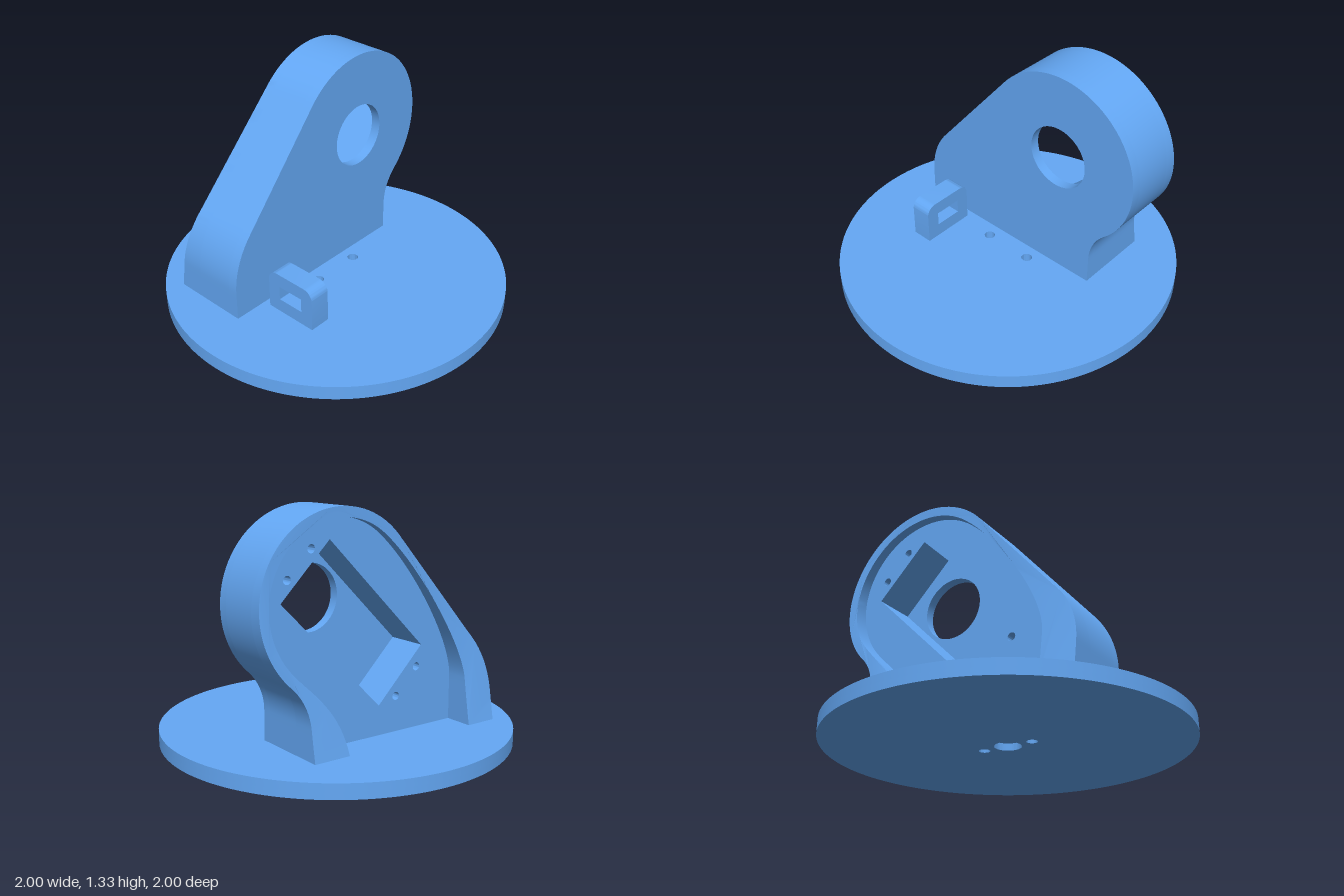
import * as THREE from 'three';
import { toCreasedNormals } from 'three/addons/utils/BufferGeometryUtils.js';

const BASE_H = 0.083;           // thickness of the round base
const FACE_X = -0.083;          // flat outer face of the bracket
const FLOOR_X = -0.14;          // bottom of the motor pocket
const SEAT_X = -0.38;           // recessed seat inside the rim
const HUB = { u: 0.285, y: 0.835, r: 0.5 }; // u = -z, the bracket's sketch axis

const material = new THREE.MeshStandardMaterial({ color: 0x64a8f5 });

function part(name, geometry) {
  const mesh = new THREE.Mesh(toCreasedNormals(geometry, 0.5), material);
  mesh.name = name;
  return mesh;
}

function circle(cx, cy, r, Type = THREE.Path) {
  return new Type().absarc(cx, cy, r, 0, Math.PI * 2, false);
}

function extrude(shape, depth, curveSegments = 32) {
  return new THREE.ExtrudeGeometry(shape, { depth, bevelEnabled: false, curveSegments });
}

// Extrudes a (-z, y) sketch sideways from x0 to x1
function extrudeX(shape, x0, x1) {
  return extrude(shape, x1 - x0).rotateY(Math.PI / 2).translate(x0, 0, 0);
}

// Layer of the round base, with its holes
function baseLayer(y0, y1, holes) {
  const shape = circle(0, 0, 1, THREE.Shape);
  for (const [z, r] of holes) shape.holes.push(circle(0, -z, r));
  return extrude(shape, y1 - y0, 96).rotateX(-Math.PI / 2).translate(0, y0, 0);
}

function arcPoints(cx, cy, r, a0, a1, n) {
  return Array.from({ length: n + 1 }, (_, i) => {
    const a = a0 + (a1 - a0) * i / n;
    return new THREE.Vector2(cx + r * Math.cos(a), cy + r * Math.sin(a));
  });
}

function bezierPoints(p, n) {
  const v = p.map(([u, y]) => new THREE.Vector2(u, y));
  return new THREE.CubicBezierCurve(...v).getPoints(n);
}

function linePoints(a, b, n) {
  return Array.from({ length: n - 1 }, (_, i) => a.clone().lerp(b, (i + 1) / n));
}

// Side outline, from the back foot over the hub to the front foot
function outerOutline() {
  const filletR = 0.3, backU = 0.535, frontU = -0.71, shoulderR = 0.5;
  const cu = backU + filletR;
  const reach = HUB.r + filletR;
  const cy = HUB.y - Math.sqrt(reach ** 2 - (cu - HUB.u) ** 2);
  const join = Math.atan2(cy - HUB.y, cu - HUB.u);
  const slope = Math.PI - Math.atan2(0.644, 0.765);
  const foot = arcPoints(cu, cy, filletR, Math.PI, join + Math.PI, 14);
  const hub = arcPoints(HUB.u, HUB.y, HUB.r, join, slope, 56);
  const shoulder = arcPoints(frontU + shoulderR, 0.25, shoulderR, slope, Math.PI, 16);
  const back0 = new THREE.Vector2(backU, BASE_H);
  const front0 = new THREE.Vector2(frontU, BASE_H);
  return [
    back0, ...linePoints(back0, foot[0], 5), ...foot,
    ...hub.slice(1), ...linePoints(hub[56], shoulder[0], 20), ...shoulder,
    ...linePoints(shoulder[16], front0, 5), front0,
  ];
}

// Edge of the recess, from the front foot back over the hub to the back foot
function recessOutline() {
  const r = 0.445;
  const a0 = THREE.MathUtils.degToRad(128), a1 = THREE.MathUtils.degToRad(-35);
  const hub = arcPoints(HUB.u, HUB.y, r, a0, a1, 50);
  const s = hub[0], e = hub[50];
  const start = new THREE.Vector2(-0.52, BASE_H), knee = new THREE.Vector2(-0.52, 0.35);
  return [
    start, ...linePoints(start, knee, 6),
    ...bezierPoints([[-0.52, 0.35], [-0.515, 0.55], [s.x - 0.24, s.y - 0.19], [s.x, s.y]], 26),
    ...hub.slice(1),
    ...bezierPoints([[e.x, e.y], [e.x - 0.1, e.y - 0.14], [0.36, 0.36], [0.32, BASE_H]], 20).slice(1),
  ];
}

// Point in the motor's 45 degree frame: a runs down and forward from the hub
function motorPoint(a, b) {
  const k = Math.SQRT1_2;
  return new THREE.Vector2(HUB.u + (-a + b) * k, HUB.y + (-a - b) * k);
}

function createBracket() {
  const bracket = new THREE.Group();
  bracket.name = 'bracket';
  const outline = outerOutline();

  // Thin outer face with the round shaft opening
  const face = new THREE.Shape(outline);
  face.holes.push(circle(HUB.u, HUB.y, 0.187));
  bracket.add(part('shaftPlate', extrudeX(face, FLOOR_X, FACE_X)));

  // Thick seat with the tilted motor pocket and four screw holes
  const seat = new THREE.Shape(outline);
  seat.holes.push(new THREE.Path([
    motorPoint(-0.262, -0.21), motorPoint(0.618, -0.21),
    motorPoint(0.618, 0.21), motorPoint(-0.262, 0.21),
  ]));
  for (const a of [-0.314, 0.678]) {
    for (const b of [-0.102, 0.102]) {
      const p = motorPoint(a, b);
      seat.holes.push(circle(p.x, p.y, 0.023));
    }
  }
  bracket.add(part('motorSeat', extrudeX(seat, SEAT_X, FLOOR_X)));

  // Raised rim whose free edge flares out towards the base
  const rim = extrudeX(new THREE.Shape([...outline, ...recessOutline()]), -0.5, SEAT_X);
  const pos = rim.attributes.position;
  for (let i = 0; i < pos.count; i++) {
    if (pos.getX(i) < -0.45) {
      const t = (1.335 - pos.getY(i)) / 1.252;
      pos.setX(i, -0.433 - 0.115 * t * t);
    }
  }
  bracket.add(part('flaredRim', rim));
  return bracket;
}

// Small loop with rounded top corners and a slot
function createCableLoop() {
  const x0 = -0.04, x1 = 0.285, top = 0.33, r = 0.06;
  const s = new THREE.Shape();
  s.moveTo(x0, BASE_H);
  s.lineTo(x1, BASE_H);
  s.lineTo(x1, top - r);
  s.absarc(x1 - r, top - r, r, 0, Math.PI / 2, false);
  s.lineTo(x0 + r, top);
  s.absarc(x0 + r, top - r, r, Math.PI / 2, Math.PI, false);
  s.closePath();
  s.holes.push(new THREE.Path([[0.04, 0.165], [0.04, 0.25], [0.205, 0.25], [0.205, 0.165]]
    .map(([x, y]) => new THREE.Vector2(x, y))));
  return part('cableLoop', extrude(s, 0.125, 12).translate(0, 0, 0.38));
}

export function createModel() {
  const model = new THREE.Group();
  model.name = 'motorMount';

  // Round base: two through holes, and a shallow centre recess underneath
  const through = [[-0.15, 0.031], [0.15, 0.031]];
  model.add(part('baseUnderside', baseLayer(0, 0.04, [...through, [0, 0.075]])));
  model.add(part('baseTop', baseLayer(0.04, BASE_H, through)));

  model.add(createBracket(), createCableLoop());
  return model;
}
